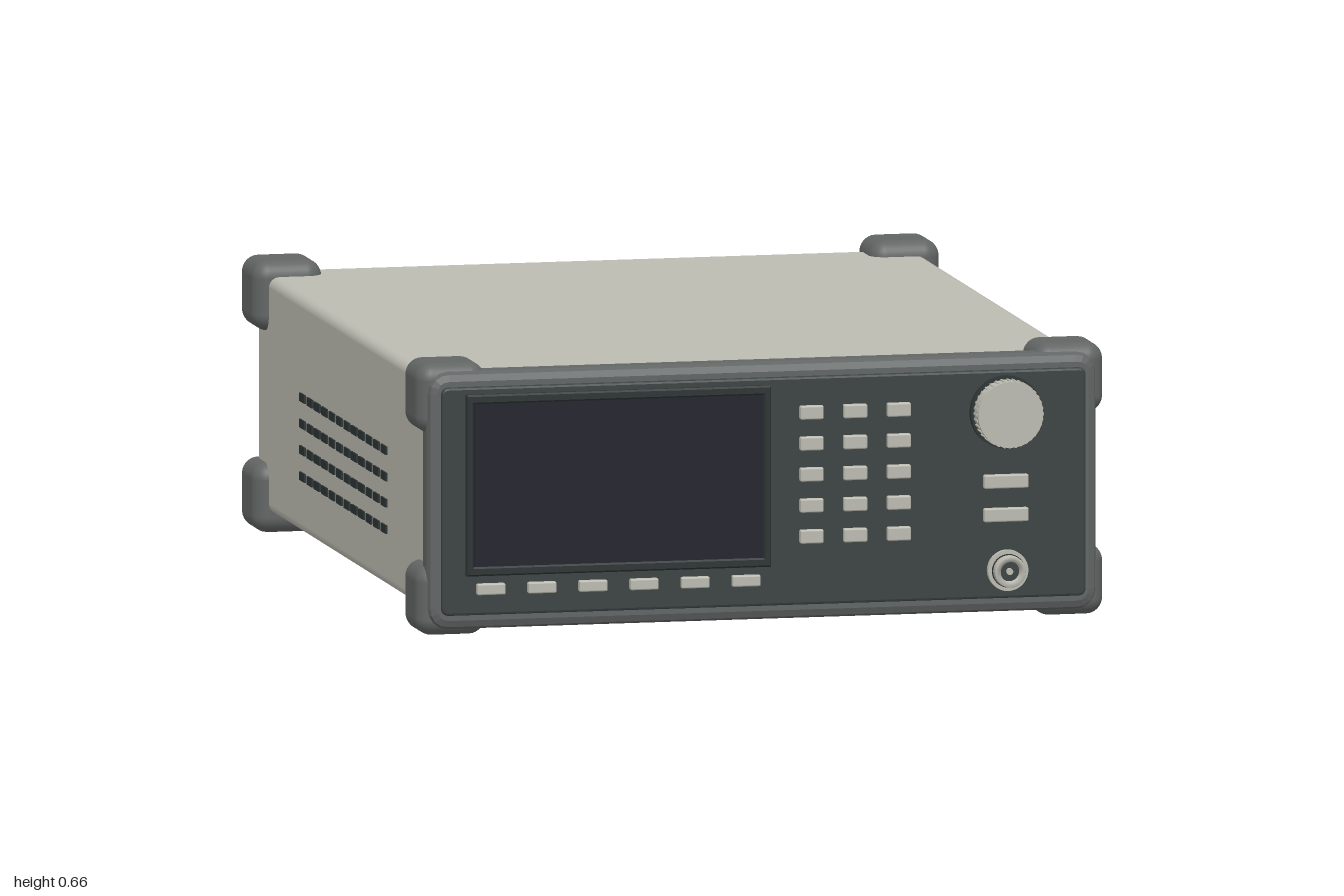
import * as THREE from 'three';
import { RoundedBoxGeometry } from 'three/addons/geometries/RoundedBoxGeometry.js';

const mat = (name, color) => {
  const m = new THREE.MeshStandardMaterial({ color });
  m.name = name;
  return m;
};

export function createModel() {
  const beige = mat('beige', 0xbcbbb1);
  const rubber = mat('rubberGrey', 0x616564);
  const panelGrey = mat('panelGrey', 0x3b4242);
  const dark = mat('darkGrey', 0x2c3333);
  const glass = mat('screenGlass', 0x22222d);

  const model = new THREE.Group();
  model.name = 'benchInstrument';

  const add = (name, geometry, material, x, y, z, parent = model) => {
    const mesh = new THREE.Mesh(geometry, material);
    mesh.name = name;
    mesh.position.set(x, y, z);
    parent.add(mesh);
    return mesh;
  };
  const group = (name) => {
    const g = new THREE.Group();
    g.name = name;
    model.add(g);
    return g;
  };
  const rounded = (w, h, d, r, s = 3) => new RoundedBoxGeometry(w, h, d, s, r);
  // Rectangular slab with bevelled front edges, extruded from z = 0 to depth
  const slab = (w, h, d, r, bevel) => {
    const a = w / 2 - bevel, b = h / 2 - bevel;
    const s = new THREE.Shape();
    s.moveTo(-a + r, -b);
    s.lineTo(a - r, -b); s.quadraticCurveTo(a, -b, a, -b + r);
    s.lineTo(a, b - r); s.quadraticCurveTo(a, b, a - r, b);
    s.lineTo(-a + r, b); s.quadraticCurveTo(-a, b, -a, b - r);
    s.lineTo(-a, -b + r); s.quadraticCurveTo(-a, -b, -a + r, -b);
    const g = new THREE.ExtrudeGeometry(s, {
      depth: d - 2 * bevel, bevelThickness: bevel, bevelSize: bevel, bevelSegments: 2, curveSegments: 4,
    });
    return g.translate(0, 0, bevel);
  };

  // Case and front bezel
  add('case', rounded(1.6, 0.566, 1.835, 0.025), beige, 0, 0.337, -0.04);
  add('frontBezel', slab(1.625, 0.616, 0.083, 0.03, 0.022), rubber, 0, 0.33, 0.847);
  add('frontPanel', slab(1.565, 0.546, 0.03, 0.012, 0.006), panelGrey, 0, 0.33, 0.91);

  // Rubber corner bumpers
  const bumpers = group('cornerBumpers');
  const bumperGeo = rounded(0.17, 0.168, 0.17, 0.04, 4);
  for (const x of [-0.75, 0.75])
    for (const y of [0.089, 0.572])
      for (const z of [-0.915, 0.83]) add('cornerBumper', bumperGeo, rubber, x, y, z, bumpers);

  // Feet
  const feet = group('feet');
  const footGeo = slab(0.15, 0.17, 0.07, 0.02, 0.01).rotateX(Math.PI / 2);
  for (const x of [-0.535, 0.535])
    for (const z of [-0.65, 0.575]) add('foot', footGeo, dark, x, 0.07, z, feet);

  // Ventilation slots on both sides
  const vents = group('sideVents');
  const ventGeo = new THREE.BoxGeometry(0.009, 0.02, 0.056);
  for (const x of [-0.8, 0.8])
    for (let row = 0; row < 4; row++)
      for (let col = 0; col < 12; col++)
        add('ventSlot', ventGeo, dark, x, 0.194 + row * 0.063, 0.407 - col * 0.079, vents);

  // Display: frame with a recessed opening, and the glass inside it
  const frame = new THREE.Shape([
    [-0.366, -0.213], [0.366, -0.213], [0.366, 0.213], [-0.366, 0.213],
  ].map(([x, y]) => new THREE.Vector2(x, y)));
  frame.holes.push(new THREE.Path([
    [-0.356, -0.199], [-0.356, 0.199], [0.356, 0.199], [0.356, -0.199],
  ].map(([x, y]) => new THREE.Vector2(x, y))));
  const frameGeo = new THREE.ExtrudeGeometry(frame, {
    depth: 0.012, bevelThickness: 0.004, bevelSize: 0.004, bevelSegments: 1,
  });
  add('screenFrame', frameGeo, dark, -0.355, 0.369, 0.938);
  add('screen', new THREE.BoxGeometry(0.704, 0.39, 0.01), glass, -0.353, 0.368, 0.944);
  add('screenSurround', new THREE.BoxGeometry(0.73, 0.42, 0.004), dark, -0.355, 0.369, 0.941);

  // Buttons
  const buttons = group('buttons');
  const softGeo = rounded(0.069, 0.027, 0.03, 0.004, 2);
  const keyGeo = rounded(0.057, 0.033, 0.03, 0.004, 2);
  const wideGeo = rounded(0.108, 0.033, 0.03, 0.004, 2);
  for (let i = 0; i < 6; i++) add('softKey', softGeo, beige, -0.665 + i * 0.124, 0.12, 0.94, buttons);
  for (let col = 0; col < 3; col++)
    for (let row = 0; row < 5; row++)
      add('keypadKey', keyGeo, beige, 0.114 + col * 0.106, 0.221 + row * 0.0742, 0.94, buttons);
  for (const y of [0.258, 0.338]) add('wideKey', wideGeo, beige, 0.586, y, 0.94, buttons);

  // Rotary knob with a dark collar and fine grip ribs
  const disc = (r, d, n = 40) => new THREE.CylinderGeometry(r, r, d, n).rotateX(Math.PI / 2);
  const knob = group('rotaryKnob');
  knob.position.set(0.586, 0.504, 0);
  add('knobCollar', disc(0.087, 0.02), dark, 0, 0, 0.945, knob);
  add('knobBody', disc(0.079, 0.065), beige, 0, 0, 0.9675, knob);
  const ribGeo = new THREE.BoxGeometry(0.005, 0.005, 0.036);
  for (let i = 0; i < 36; i++) {
    const a = (i / 36) * Math.PI * 2;
    add('knobRib', ribGeo, beige, Math.cos(a) * 0.079, Math.sin(a) * 0.079, 0.975, knob).rotation.z = a;
  }

  // Coaxial connector: flange, hollow barrel and centre pin
  const jack = group('coaxialConnector');
  jack.position.set(0.59, 0.125, 0);
  add('flange', disc(0.049, 0.02, 32), beige, 0, 0, 0.945, jack);
  const barrel = new THREE.LatheGeometry(
    [[0.024, 0.945], [0.024, 0.98], [0.036, 0.98], [0.038, 0.976], [0.038, 0.945]]
      .reverse().map(([r, z]) => new THREE.Vector2(r, z)), 32).rotateX(Math.PI / 2);
  const barrelMat = mat('beigeBarrel', 0xbcbbb1);
  barrelMat.side = THREE.DoubleSide;
  add('barrel', barrel, barrelMat, 0, 0, 0, jack);
  add('barrelGroove', disc(0.04, 0.006, 32), dark, 0, 0, 0.957, jack);
  add('socket', disc(0.024, 0.006, 24), panelGrey, 0, 0, 0.962, jack);
  add('centrePin', disc(0.008, 0.02, 12), beige, 0, 0, 0.965, jack);

  return model;
}
